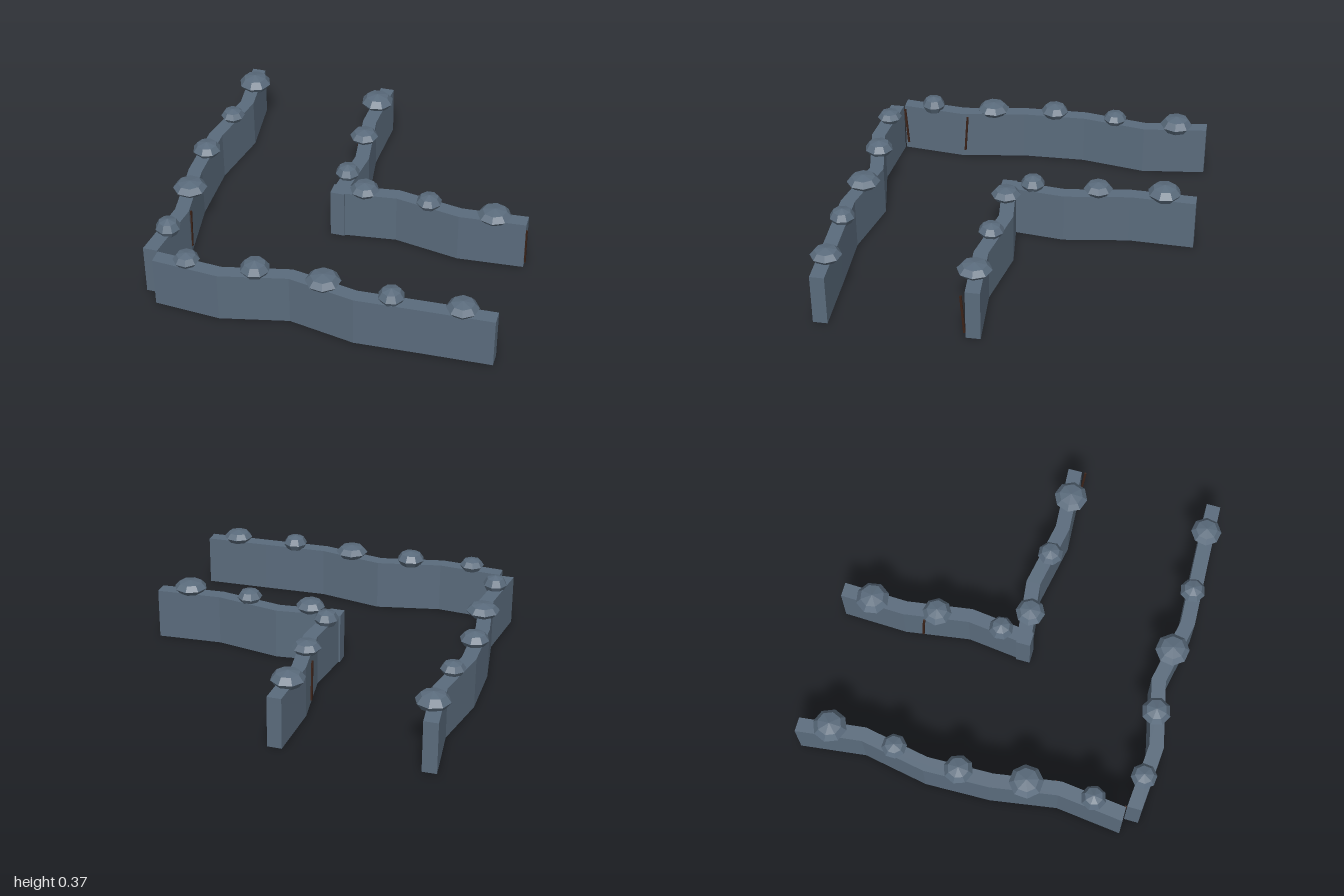
import * as THREE from 'three';

const HEIGHT = 0.29, HALF = 0.04;

export function createModel() {
  const model = new THREE.Group();
  model.name = 'crookedWalls';
  const stone = new THREE.MeshStandardMaterial({ color: 0x5a6b7c, flatShading: true });
  stone.name = 'slateStone';
  const crackMat = new THREE.MeshStandardMaterial({ color: 0x3a2218 });
  crackMat.name = 'darkBrownCrack';

  // Wavy wall: evenly spaced offsets along one axis, constant thickness across it
  function wall(name, axis, from, to, offsets) {
    const step = (to - from) / (offsets.length - 1);
    const side = (s) => offsets.map((o, i) => {
      const along = from + i * step, across = o + s * HALF;
      return axis === 'x' ? new THREE.Vector2(along, -across) : new THREE.Vector2(across, -along);
    });
    const shape = new THREE.Shape([...side(-1), ...side(1).reverse()]);
    const geo = new THREE.ExtrudeGeometry(shape, { depth: HEIGHT, bevelEnabled: false });
    geo.rotateX(-Math.PI / 2);
    const mesh = new THREE.Mesh(geo, stone);
    mesh.name = name;
    model.add(mesh);
  }
  wall('outerSideWall', 'z', -0.98, 0.86, [-0.905, -0.86, -0.928, -0.92, -0.862, -0.905]);
  wall('outerFrontWall', 'x', -0.86, 0.98, [0.905, 0.935, 0.855, 0.93, 0.915, 0.903]);
  wall('innerSideWall', 'z', -0.98, 0.12, [-0.085, -0.097, -0.042, -0.085]);
  wall('innerFrontWall', 'x', -0.125, 0.98, [0.08, 0.037, 0.107, 0.083]);

  // Flattened faceted boulders along the wall tops: x, z, radius, half height
  const boulders = [
    [-0.87, -0.80, 0.095, 0.053], [-0.885, -0.43, 0.07, 0.042], [-0.915, -0.06, 0.082, 0.047],
    [-0.88, 0.31, 0.095, 0.043], [-0.87, 0.68, 0.07, 0.055],
    [-0.68, 0.91, 0.072, 0.042], [-0.31, 0.885, 0.082, 0.05], [0.06, 0.885, 0.095, 0.043],
    [0.43, 0.91, 0.072, 0.05], [0.80, 0.90, 0.086, 0.042],
    [-0.10, -0.80, 0.095, 0.05], [-0.08, -0.43, 0.082, 0.042], [-0.075, -0.06, 0.07, 0.05],
    [0.06, 0.07, 0.083, 0.042], [0.43, 0.085, 0.072, 0.045], [0.80, 0.105, 0.095, 0.042],
  ];
  const boulderGeo = new THREE.SphereGeometry(1, 8, 4);
  boulders.forEach(([x, z, r, h], i) => {
    const mesh = new THREE.Mesh(boulderGeo, stone);
    mesh.name = 'boulder' + (i + 1);
    mesh.position.set(x, 0.315, z);
    mesh.scale.set(r, h, r);
    mesh.rotation.y = (i * 0.37) % (Math.PI / 4);
    model.add(mesh);
  });

  // Thin, slightly leaning cracks: x, z, lean
  const crackGeo = new THREE.BoxGeometry(0.009, 0.23, 0.012);
  [[0.988, 0.135, 0.07], [-0.857, 0.85, 0.07], [-0.822, 0.47, -0.07], [-0.133, -0.5, 0.07]]
    .forEach(([x, z, lean], i) => {
      const mesh = new THREE.Mesh(crackGeo, crackMat);
      mesh.name = 'crack' + (i + 1);
      mesh.position.set(x, 0.155, z);
      mesh.rotation.x = lean;
      model.add(mesh);
    });
  return model;
}
